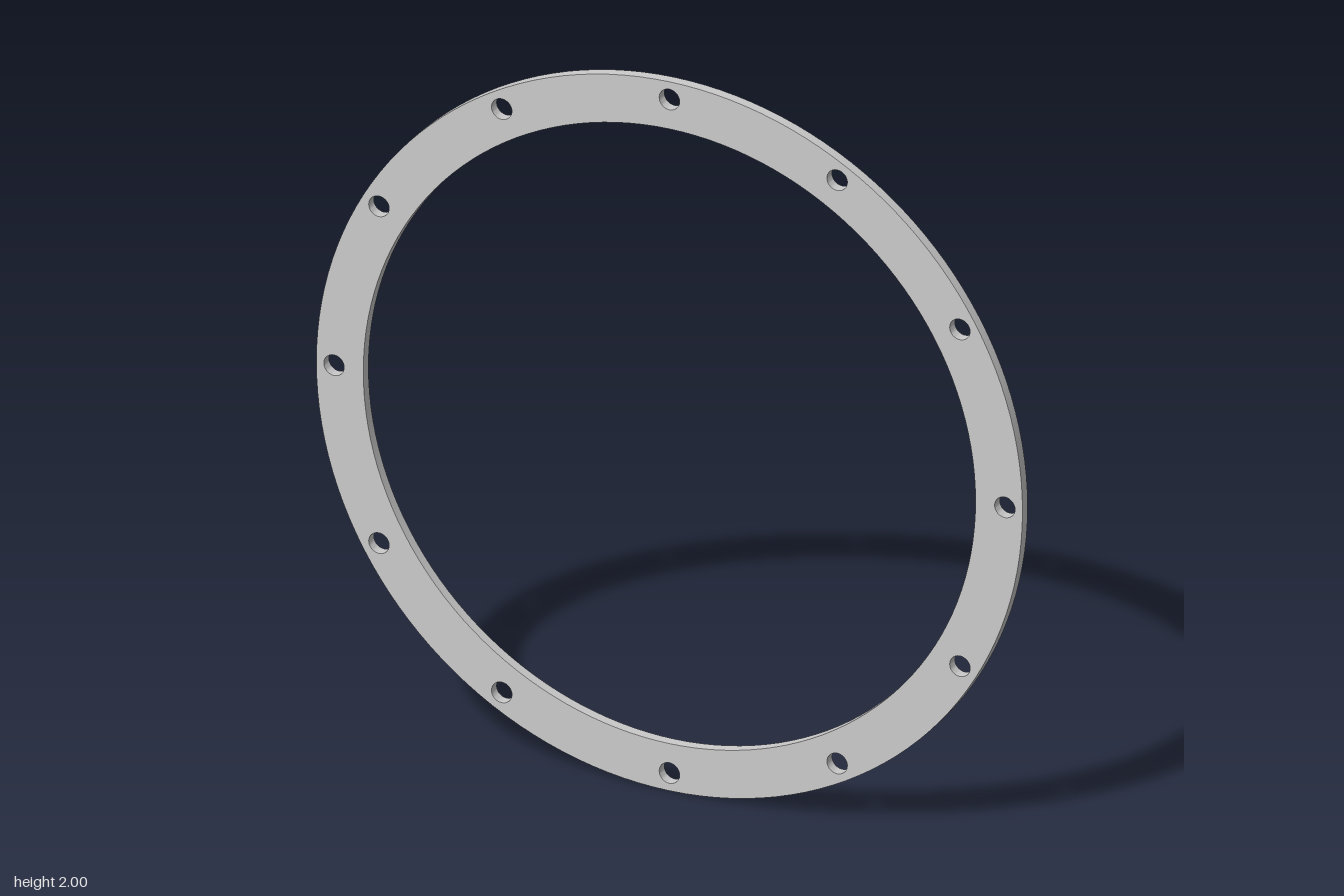
import * as THREE from 'three';
import { toCreasedNormals } from 'three/addons/utils/BufferGeometryUtils.js';

const OUTER = 1, INNER = 0.867, THICKNESS = 0.03;
const BOLT_CIRCLE = 0.95, HOLE_RADIUS = 0.029, HOLES = 12;

// Points of a circle, so each one can have its own number of sides
function circle(cx, cy, r, sides) {
  return Array.from({ length: sides }, (_, i) => {
    const a = (i / sides) * Math.PI * 2;
    return new THREE.Vector2(cx + r * Math.cos(a), cy + r * Math.sin(a));
  });
}

export function createModel() {
  const group = new THREE.Group();
  group.name = 'boltedFlangeRing';

  // Flat ring outline with the large opening
  const outline = new THREE.Shape(circle(0, 0, OUTER, 144));
  outline.holes.push(new THREE.Path(circle(0, 0, INNER, 144)));

  // Evenly spaced bolt holes
  for (let i = 0; i < HOLES; i++) {
    const a = (i / HOLES) * Math.PI * 2;
    outline.holes.push(new THREE.Path(
      circle(BOLT_CIRCLE * Math.cos(a), BOLT_CIRCLE * Math.sin(a), HOLE_RADIUS, 32)));
  }

  // Plate thickness, centred on z, standing on the ground
  const geometry = new THREE.ExtrudeGeometry(outline, { depth: THICKNESS, bevelEnabled: false });
  geometry.translate(0, OUTER, -THICKNESS / 2);

  const ring = new THREE.Mesh(
    toCreasedNormals(geometry, 0.6),
    new THREE.MeshStandardMaterial({ color: 0xcccccc }));
  ring.name = 'flangeRing';
  group.add(ring);
  return group;
}
